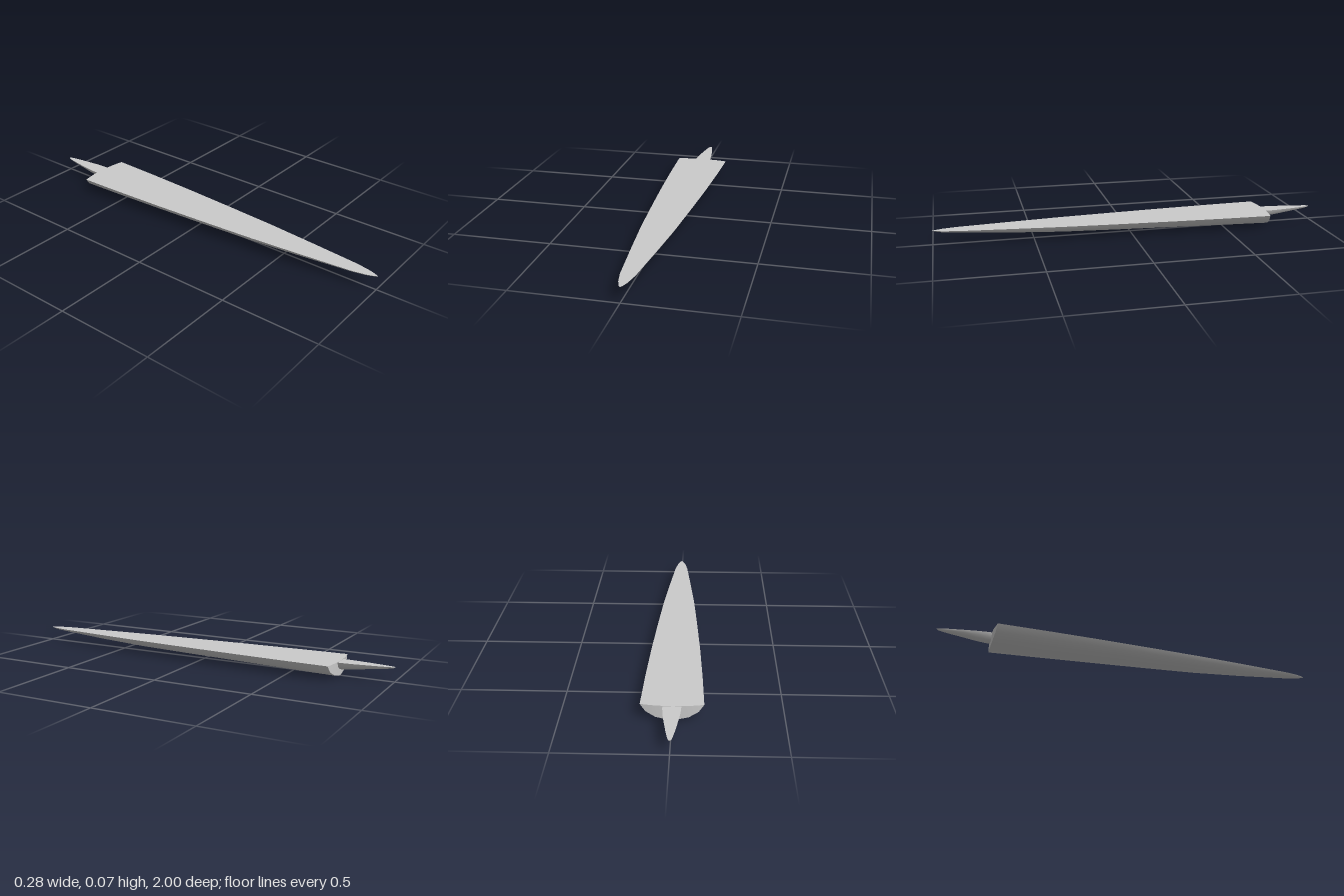
import * as THREE from 'three';

const DECK_Y = 0.073;

// Half cross-section as [share of half width, share of depth], mirrored about the keel
const HALF = [[1, 0], [0.83, 0.46], [0.52, 0.8], [0, 1]];
const PROFILE = [
  ...HALF.map(([x, d]) => [-x, d]),
  ...HALF.slice(0, 3).reverse(),
];

// Smooth skin over rows of points with equal counts
function skin(rows, flip, name, material) {
  const n = rows[0].length, index = [];
  for (let i = 0; i < rows.length - 1; i++) {
    for (let j = 0; j < n - 1; j++) {
      const a = i * n + j, b = a + 1, c = a + n, d = c + 1;
      if (flip) index.push(a, c, b, b, c, d);
      else index.push(a, b, c, b, d, c);
    }
  }
  const geometry = new THREE.BufferGeometry();
  geometry.setAttribute('position', new THREE.Float32BufferAttribute(rows.flat(2), 3));
  geometry.setIndex(index);
  geometry.computeVertexNormals();
  const mesh = new THREE.Mesh(geometry, material);
  mesh.name = name;
  return mesh;
}

// Flat-topped spindle; stations are [z, half width, depth], running from front to back
function spindle(name, stations, topY, sternBulge, material) {
  const last = stations.length - 1;
  const ring = (flat) => stations.map(([z, w, depth], i) =>
    PROFILE.map(([x, d]) => [
      x * w,
      topY - (flat ? 0 : d * depth),
      z + (i === last ? sternBulge * x * x : 0),
    ]));
  const under = ring(false), deck = ring(true);
  const group = new THREE.Group();
  group.name = name;
  group.add(
    skin(under, true, name + 'Underside', material),
    skin(deck, false, name + 'Deck', material),
    skin([deck[last], under[last]], false, name + 'EndFace', material),
  );
  return group;
}

export function createModel() {
  const material = new THREE.MeshStandardMaterial({ color: 0xcccccc, side: THREE.DoubleSide });
  const model = new THREE.Group();
  model.name = 'taperedHull';

  // Long main body, pointed at the front and widest at the stern
  model.add(spindle('body', [
    [1.0, 0, 0], [0.985, 0.009, 0.005], [0.95, 0.021, 0.011], [0.88, 0.035, 0.016],
    [0.62, 0.061, 0.034], [0.36, 0.085, 0.047], [0.08, 0.104, 0.054],
    [-0.2, 0.121, 0.06], [-0.48, 0.134, 0.067], [-0.737, 0.142, 0.073],
  ], DECK_Y, 0.016, material));

  // Small tail tapering to a rounded tip behind the stern
  model.add(spindle('tail', [
    [-0.7, 0.043, 0.044], [-0.76, 0.041, 0.04], [-0.81, 0.037, 0.034],
    [-0.87, 0.029, 0.025], [-0.93, 0.02, 0.017], [-0.975, 0.012, 0.01],
    [-0.993, 0.007, 0.006], [-1.0, 0, 0],
  ], DECK_Y - 0.002, 0, material));

  return model;
}
